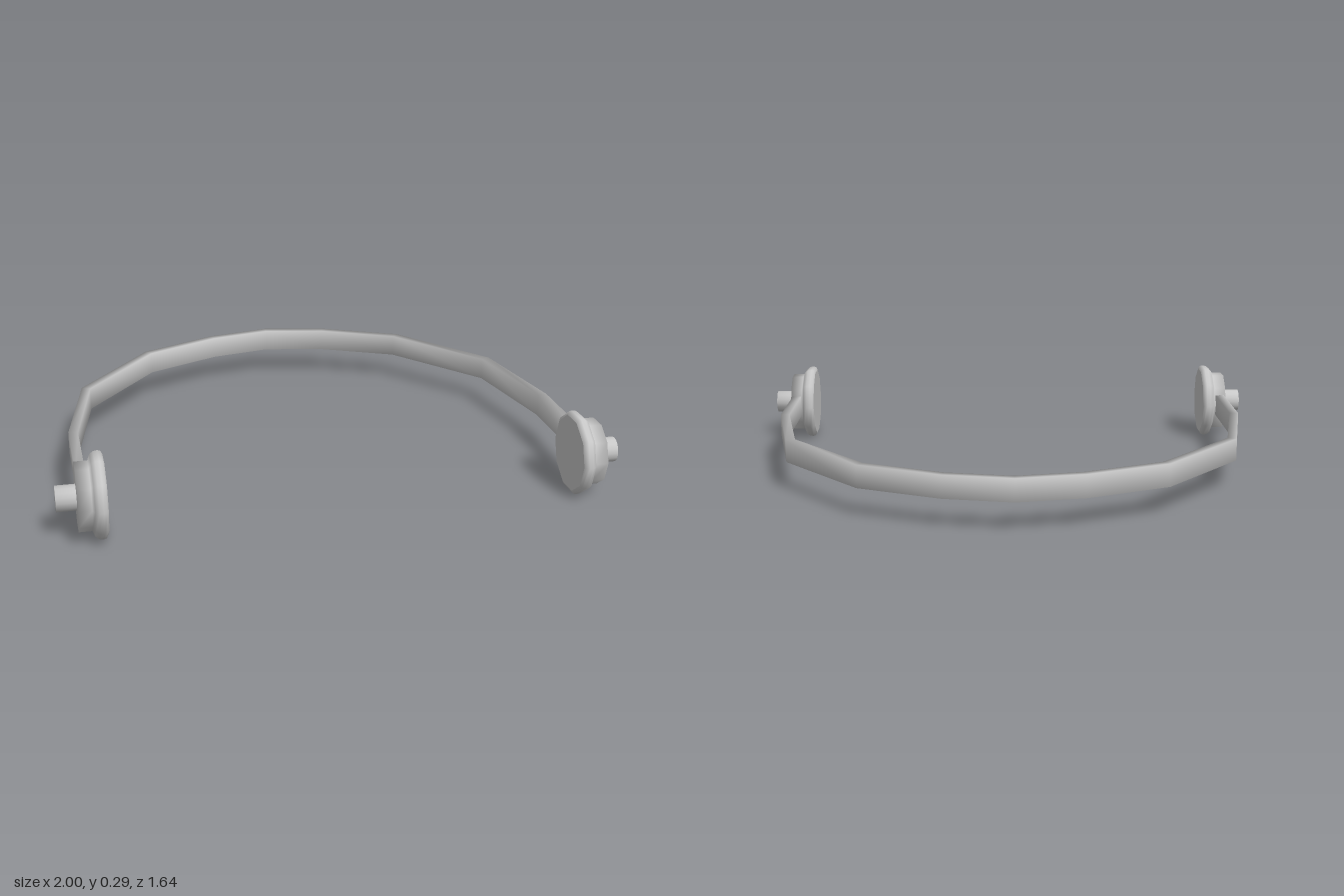
import * as THREE from 'three';

const AXIS_Y = 0.147;
const EAR_Z = 0.67;

// Sweeps an upright rectangle along a flat path with mitred corners and soft shading.
// The open ends are buried in the ear pieces.
function sweepBand(path, halfThick, halfHeight) {
  const section = [[1, -1], [1, 1], [-1, 1], [-1, -1]];
  const sides = section.length;
  const last = path.length - 1;
  const direction = (i) => new THREE.Vector2().subVectors(path[i + 1], path[i]).normalize();
  const positions = [];
  const index = [];
  path.forEach((p, i) => {
    const before = direction(Math.max(i - 1, 0));
    const after = direction(Math.min(i, last - 1));
    const t = before.clone().add(after).normalize();
    const reach = halfThick / t.dot(before);
    section.forEach(([u, v], j) => {
      positions.push(p.x - t.y * u * reach, AXIS_Y + v * halfHeight, p.y + t.x * u * reach);
      if (i < last) {
        const k = (j + 1) % sides;
        const [a0, a1, b0, b1] = [i * sides + j, i * sides + k, (i + 1) * sides + j, (i + 1) * sides + k];
        index.push(a0, b0, a1, b0, b1, a1);
      }
    });
  });
  const geometry = new THREE.BufferGeometry();
  geometry.setAttribute('position', new THREE.Float32BufferAttribute(positions, 3));
  geometry.setIndex(index);
  geometry.computeVertexNormals();
  return geometry;
}

// Lathe from pairs of radius and distance along the axis
function lathe(profile, sides) {
  return new THREE.LatheGeometry(profile.map(([r, d]) => new THREE.Vector2(r, d)), sides);
}

export function createModel() {
  const grey = new THREE.MeshStandardMaterial({ color: 0xc8c8c8 });
  grey.name = 'grey';
  const model = new THREE.Group();
  model.name = 'headband';

  // Band: half path as x, z, mirrored about the back centre
  const half = [[0.906, 0.57], [0.906, 0.2], [0.826, -0.245], [0.537, -0.615], [0.243, -0.755]]
    .map(([x, z]) => new THREE.Vector2(x, z));
  const mirrored = half.map((p) => new THREE.Vector2(-p.x, p.y)).reverse();
  const path = [...half, new THREE.Vector2(0, -0.805), ...mirrored];
  const band = new THREE.Mesh(sweepBand(path, 0.0175, 0.042), grey);
  band.name = 'band';
  model.add(band);

  // Ear pieces: the doubled point keeps the inner face flat
  const padGeometry = lathe([
    [0, 0.832], [0.138, 0.832], [0.138, 0.832], [0.149, 0.838], [0.152, 0.848], [0.15, 0.863],
    [0.14, 0.876], [0.12, 0.884], [0.12, 0.93], [0, 0.93],
  ], 10);
  const stubGeometry = lathe([[0.045, 0.9], [0.045, 1], [0, 1]], 16);

  for (const side of [1, -1]) {
    const ear = new THREE.Group();
    ear.name = side > 0 ? 'leftEarPiece' : 'rightEarPiece';
    ear.position.set(0, AXIS_Y, EAR_Z);
    ear.rotation.z = -side * Math.PI / 2;

    const pad = new THREE.Mesh(padGeometry, grey);
    pad.name = 'earPad';
    const stub = new THREE.Mesh(stubGeometry, grey);
    stub.name = 'outerStub';
    ear.add(pad, stub);
    model.add(ear);
  }
  return model;
}
